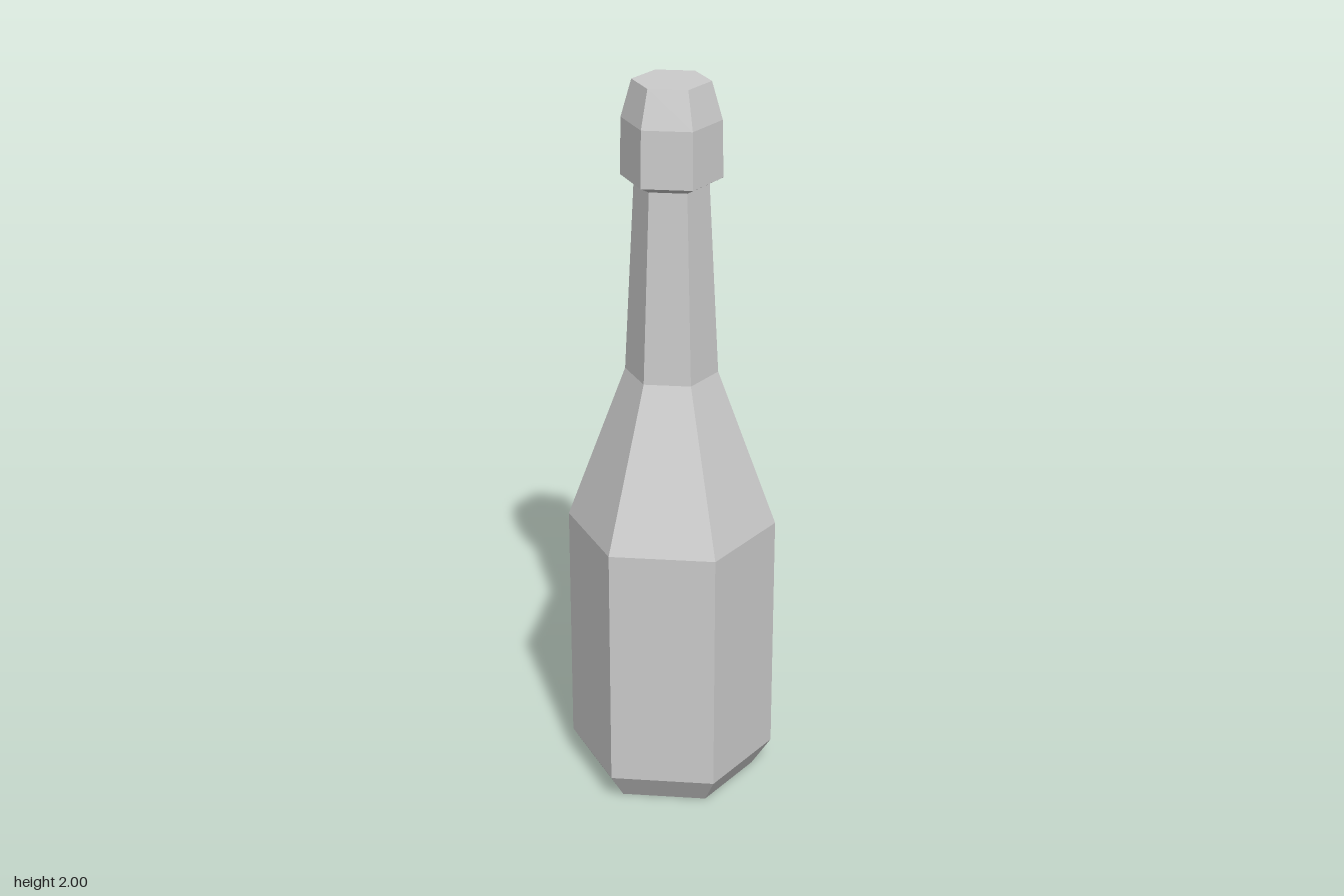
import * as THREE from 'three';

const SIDES = 6;
const material = new THREE.MeshStandardMaterial({ color: 0xcccccc, flatShading: true });

// Six-sided solid of revolution from [radius, height] pairs, with corners on the x axis
function facetedPart(name, profile) {
  const points = profile.map(([r, y]) => new THREE.Vector2(r, y));
  const geometry = new THREE.LatheGeometry(points, SIDES, Math.PI / 2).toNonIndexed();
  geometry.computeVertexNormals();
  const mesh = new THREE.Mesh(geometry, material);
  mesh.name = name;
  return mesh;
}

export function createModel() {
  const bottle = new THREE.Group();
  bottle.name = 'bottle';

  // Closed base with bevelled foot, straight walls and sloping shoulder
  bottle.add(facetedPart('body', [[0, 0], [0.23, 0], [0.283, 0.08], [0.283, 0.77], [0.124, 1.21]]));

  // Slightly tapering neck
  bottle.add(facetedPart('neck', [[0.124, 1.21], [0.098, 1.73]]));

  // Overhanging cap with chamfered, closed top
  bottle.add(facetedPart('cap', [[0.098, 1.73], [0.133, 1.748], [0.13, 1.9], [0.102, 2], [0, 2]]));

  return bottle;
}
